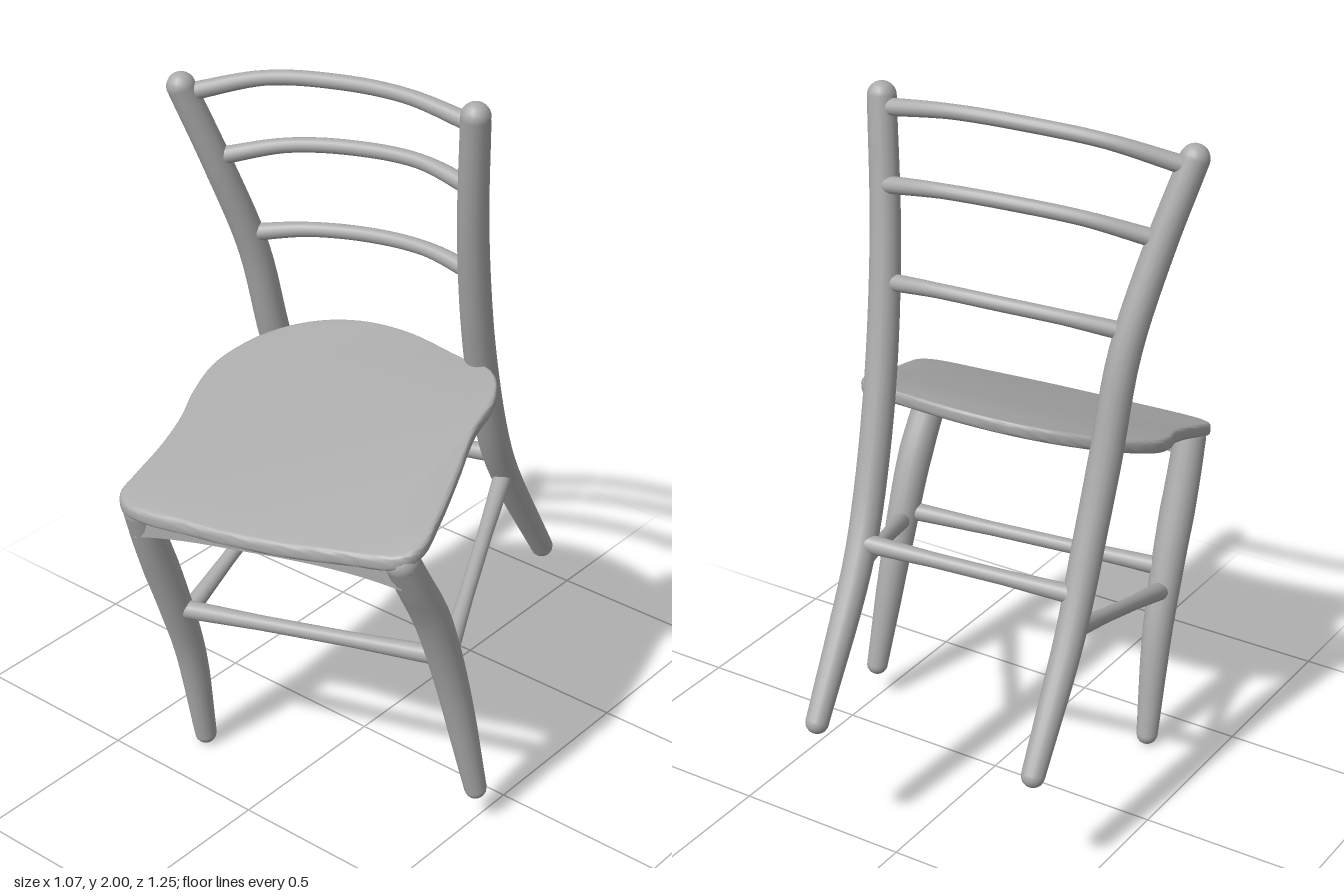
import * as THREE from 'three';
import { mergeGeometries, toCreasedNormals } from 'three/addons/utils/BufferGeometryUtils.js';

const V = (p) => new THREE.Vector3(...p);

// Round rod along a smooth curve; radii are spread evenly over its length, ends are domed
function rod(points, radii, segments = 32) {
  const curve = new THREE.CatmullRomCurve3(points.map(V));
  const sides = 16;
  const tube = new THREE.TubeGeometry(curve, segments, 1, sides);
  const pos = tube.attributes.position;
  const radiusAt = (t) => {
    const f = t * (radii.length - 1);
    const i = Math.min(Math.floor(f), radii.length - 2);
    return THREE.MathUtils.lerp(radii[i], radii[i + 1], f - i);
  };
  const v = new THREE.Vector3();
  for (let i = 0; i <= segments; i++) {
    const c = curve.getPointAt(i / segments);
    const r = radiusAt(i / segments);
    for (let j = 0; j <= sides; j++) {
      const k = i * (sides + 1) + j;
      v.fromBufferAttribute(pos, k).sub(c).multiplyScalar(r).add(c);
      pos.setXYZ(k, v.x, v.y, v.z);
    }
  }
  const caps = [0, 1].map((t) => {
    const c = curve.getPointAt(t);
    return new THREE.SphereGeometry(radiusAt(t), 16, 12).translate(c.x, c.y, c.z);
  });
  return mergeGeometries([tube, ...caps]);
}

// Thin seat cut from a smooth outline (x, z) and sloped down towards the front
function seatGeometry() {
  const outline = [
    [-0.33, 0.59], [-0.285, 0.615], [-0.08, 0.59], [0.15, 0.545], [0.35, 0.485],
    [0.475, 0.44], [0.5, 0.39], [0.475, 0.29], [0.425, 0.15], [0.375, 0.02],
    [0.355, -0.09], [0.3, -0.155], [0.18, -0.165], [0, -0.18], [-0.15, -0.16],
    [-0.27, -0.105], [-0.36, -0.02], [-0.405, 0.07], [-0.418, 0.14], [-0.4, 0.23],
    [-0.365, 0.32], [-0.345, 0.42], [-0.338, 0.53],
  ];
  const curve = new THREE.CatmullRomCurve3(outline.map(([x, z]) => V([x, z, 0])), true);
  const shape = new THREE.Shape(curve.getPoints(110).slice(0, -1).map((p) => new THREE.Vector2(p.x, p.y)));
  const geo = new THREE.ExtrudeGeometry(shape, {
    depth: 0.016, bevelEnabled: true, bevelSize: 0.01, bevelThickness: 0.012, bevelSegments: 3,
  }).rotateX(Math.PI / 2);
  const pos = geo.attributes.position;
  for (let i = 0; i < pos.count; i++) {
    pos.setY(i, pos.getY(i) + 1.132 - 0.346 * pos.getZ(i));
  }
  return toCreasedNormals(geo, 0.7);
}

// Arched board under the front edge of the seat
function apronGeometry() {
  const a = V([-0.29, 0, 0.585]), b = V([0.47, 0, 0.41]);
  const length = a.distanceTo(b);
  const shape = new THREE.Shape();
  shape.moveTo(0, 0.92);
  shape.lineTo(0, 0.82);
  shape.quadraticCurveTo(length * 0.12, 0.85, length * 0.4, 0.868);
  shape.quadraticCurveTo(length * 0.8, 0.905, length, 0.88);
  shape.lineTo(length, 0.985);
  shape.closePath();
  return new THREE.ExtrudeGeometry(shape, { depth: 0.035, bevelEnabled: false, curveSegments: 12 })
    .translate(0, 0, -0.016)
    .rotateY(Math.atan2(a.z - b.z, b.x - a.x))
    .translate(a.x, 0, a.z);
}

export function createModel() {
  const chair = new THREE.Group();
  chair.name = 'chair';
  const grey = new THREE.MeshStandardMaterial({ color: 0xaaaaaa });
  grey.name = 'plain grey';
  const add = (name, geometry) => {
    const mesh = new THREE.Mesh(geometry, grey);
    mesh.name = name;
    chair.add(mesh);
  };

  add('seat', seatGeometry());
  add('frontApron', apronGeometry());

  // Front legs, top to bottom
  const legRadii = [0.046, 0.05, 0.046, 0.04, 0.031];
  add('frontRightLeg', rod([
    [-0.285, 0.89, 0.575], [-0.288, 0.78, 0.54], [-0.292, 0.55, 0.46],
    [-0.298, 0.34, 0.395], [-0.305, 0.033, 0.34],
  ], legRadii));
  add('frontLeftLeg', rod([
    [0.462, 0.95, 0.41], [0.466, 0.87, 0.37], [0.47, 0.735, 0.3],
    [0.476, 0.5, 0.22], [0.502, 0.11, 0.135],
  ], legRadii));

  // Back posts, top to bottom, running from the backrest down to the floor
  const postRadii = [0.039, 0.041, 0.043, 0.044, 0.043, 0.039, 0.032];
  add('backRightPost', rod([
    [-0.495, 1.89, 0.145], [-0.442, 1.66, 0.07], [-0.4, 1.4, -0.015], [-0.385, 1.13, -0.075],
    [-0.38, 0.92, -0.14], [-0.385, 0.68, -0.24], [-0.394, 0.355, -0.435],
  ], postRadii));
  add('backLeftPost', rod([
    [0.318, 1.96, -0.042], [0.275, 1.61, -0.1], [0.24, 1.24, -0.185], [0.215, 0.92, -0.29],
    [0.2, 0.76, -0.37], [0.183, 0.405, -0.59],
  ], postRadii));

  // Bowed backrest rails
  const rails = {
    topRail: [[-0.475, 1.875, 0.125], [-0.3, 1.93, 0.04], [-0.1, 1.953, -0.015], [0.1, 1.957, -0.045], [0.305, 1.935, -0.05]],
    middleRail: [[-0.44, 1.685, 0.075], [-0.27, 1.735, -0.01], [-0.08, 1.758, -0.07], [0.1, 1.762, -0.1], [0.285, 1.74, -0.09]],
    lowerRail: [[-0.4, 1.45, 0], [-0.25, 1.48, -0.065], [-0.07, 1.498, -0.115], [0.1, 1.502, -0.135], [0.262, 1.487, -0.125]],
  };
  for (const [name, points] of Object.entries(rails)) {
    add(name, rod(points, [0.024, 0.02, 0.02, 0.02, 0.024]));
  }

  // Straight stretchers between the legs
  const stretchers = {
    frontStretcher: [[-0.292, 0.523, 0.455], [0.473, 0.588, 0.25]],
    backStretcher: [[-0.383, 0.778, -0.205], [0.203, 0.83, -0.345]],
    leftStretcher: [[0.2, 0.765, -0.37], [0.472, 0.56, 0.24]],
    rightStretcher: [[-0.385, 0.69, -0.235], [-0.295, 0.465, 0.43]],
  };
  for (const [name, points] of Object.entries(stretchers)) {
    add(name, rod(points, [0.027, 0.021, 0.021, 0.027], 12));
  }
  return chair;
}
